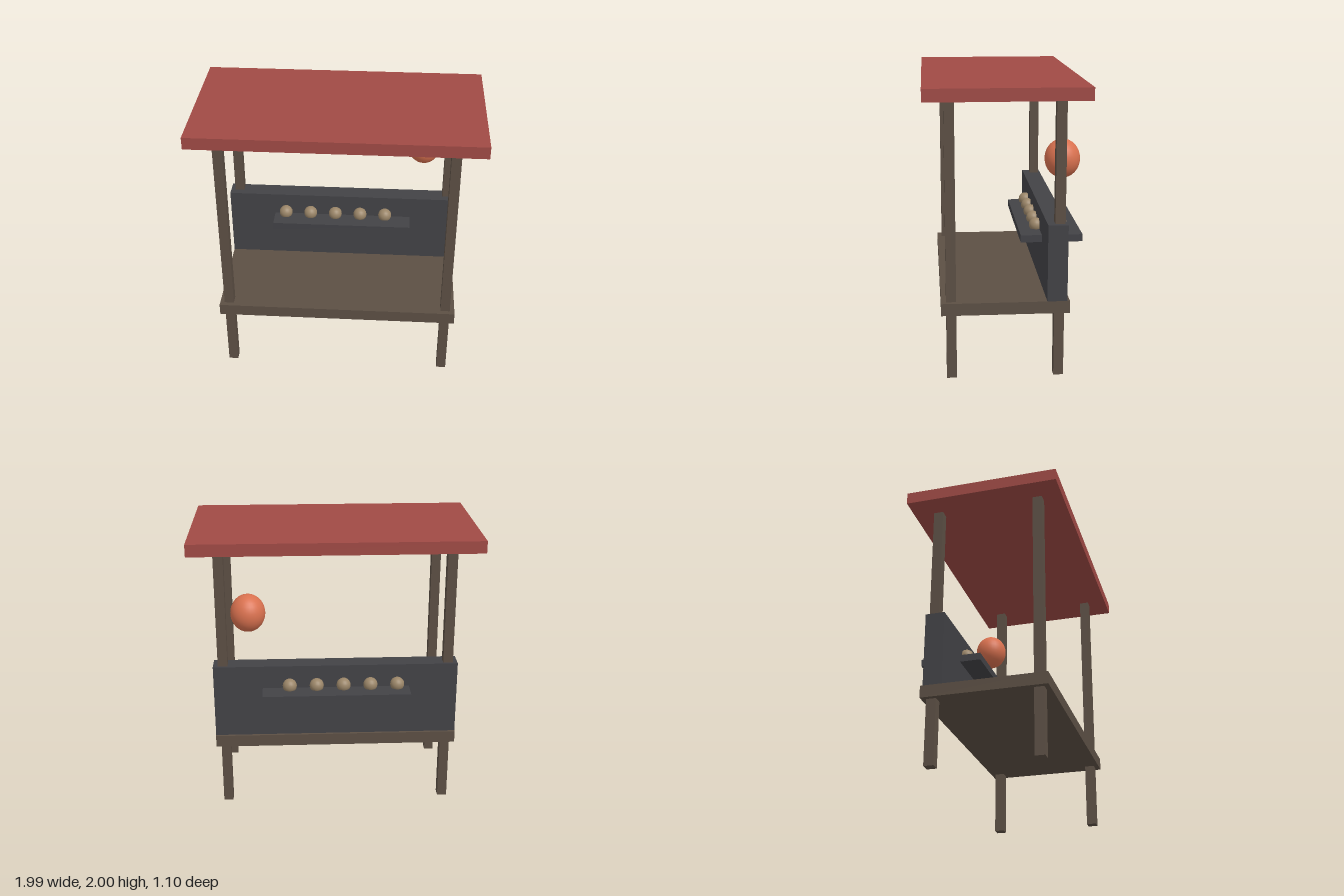
import * as THREE from 'three';

const paint = (color) => new THREE.MeshStandardMaterial({ color });

export function createModel() {
  const stall = new THREE.Group();
  stall.name = 'marketStall';

  const wood = paint(0x5c4f44);
  const slate = paint(0x424246);
  const red = paint(0xa04a45);
  const orange = paint(0xd9714f);
  const tan = paint(0x9a8568);

  // Box given by its minimum and maximum corners
  function box(name, material, [x0, y0, z0], [x1, y1, z1]) {
    const mesh = new THREE.Mesh(new THREE.BoxGeometry(x1 - x0, y1 - y0, z1 - z0), material);
    mesh.position.set((x0 + x1) / 2, (y0 + y1) / 2, (z0 + z1) / 2);
    mesh.name = name;
    stall.add(mesh);
  }

  function ball(name, material, radius, x, y, z, segments) {
    const mesh = new THREE.Mesh(new THREE.SphereGeometry(radius, segments, segments / 2), material);
    mesh.position.set(x, y, z);
    mesh.name = name;
    stall.add(mesh);
    return mesh;
  }

  // Flat roof, counter, back panel and the shelf running through it
  box('roof', red, [-0.995, 1.915, -0.53], [0.992, 2, 0.552]);
  box('counter', wood, [-0.864, 0.462, -0.419], [0.861, 0.547, 0.447]);
  box('backPanel', slate, [-0.864, 0.547, -0.401], [0.861, 1.075, -0.266]);
  box('shelf', slate, [-0.521, 0.86, -0.552], [0.516, 0.911, -0.118]);

  // Four corner posts from the ground to the roof
  const half = 0.034;
  for (const [side, x] of [['Left', 0.793], ['Right', -0.797]]) {
    for (const [end, z] of [['front', 0.379], ['back', -0.351]]) {
      box(`${end}${side}Post`, wood, [x - half, 0, z - half], [x + half, 1.915, z + half]);
    }
  }

  // A row of small balls on each side of the panel
  for (const [row, z] of [['front', -0.245], ['back', -0.422]]) {
    for (let i = 0; i < 5; i++) {
      ball(`${row}Ball${i + 1}`, tan, 0.05, -0.435 + i * 0.19, 0.936, z, 24);
    }
  }

  // Slightly tall lantern hanging at the back left post
  ball('lantern', orange, 0.12, 0.603, 1.474, -0.387, 32).scale.y = 1.1;

  return stall;
}
